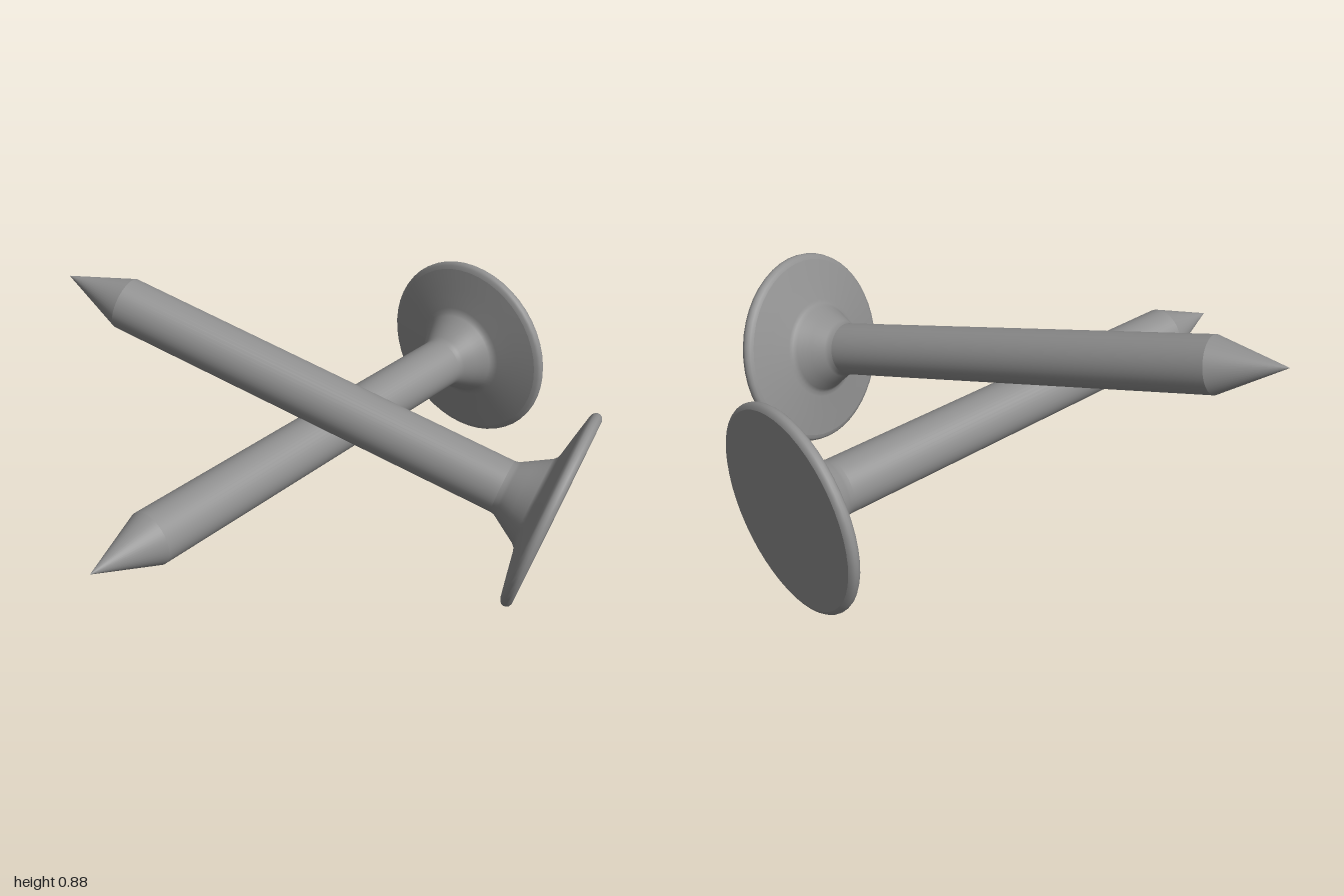
import * as THREE from 'three';

const SEGMENTS = 48;

// Surface of revolution from [radius, distance from head face] pairs
function turned(name, profile, material) {
  const points = profile.map(([r, y]) => new THREE.Vector2(r, y));
  const mesh = new THREE.Mesh(new THREE.LatheGeometry(points, SEGMENTS), material);
  mesh.name = name;
  return mesh;
}

// One nail, starting at the centre of its head face and running along direction
function createNail(name, headCentre, direction, length, material) {
  const nail = new THREE.Group();
  nail.name = name;
  const coneStart = length - 0.25;
  nail.add(
    turned('headFace', [[0, 0], [0.35, 0]], material),
    turned('headRim', [[0.35, 0], [0.361, 0.005], [0.367, 0.014], [0.368, 0.023],
      [0.365, 0.032], [0.358, 0.039], [0.345, 0.044]], material),
    turned('headUnderside', [[0.345, 0.044], [0.27, 0.059], [0.19, 0.074], [0.174, 0.079],
      [0.162, 0.09], [0.134, 0.136], [0.107, 0.18], [0.101, 0.19], [0.098, 0.205]], material),
    turned('shank', [[0.098, 0.205], [0.098, coneStart]], material),
    turned('point', [[0.098, coneStart], [0, length]], material)
  );
  nail.position.set(...headCentre);
  nail.quaternion.setFromUnitVectors(
    new THREE.Vector3(0, 1, 0), new THREE.Vector3(...direction).normalize());
  return nail;
}

export function createModel() {
  const steel = new THREE.MeshStandardMaterial({ color: 0x909090 });
  steel.name = 'steel grey';
  const model = new THREE.Group();
  model.name = 'crossedNails';
  model.add(
    createNail('levelNail', [1, 0.39, -0.037], [-1, 0, 0], 2, steel),
    createNail('leaningNail', [0.326, 0.354, 0.845], [-0.3, 0.25, -0.921], 1.99, steel)
  );
  return model;
}
